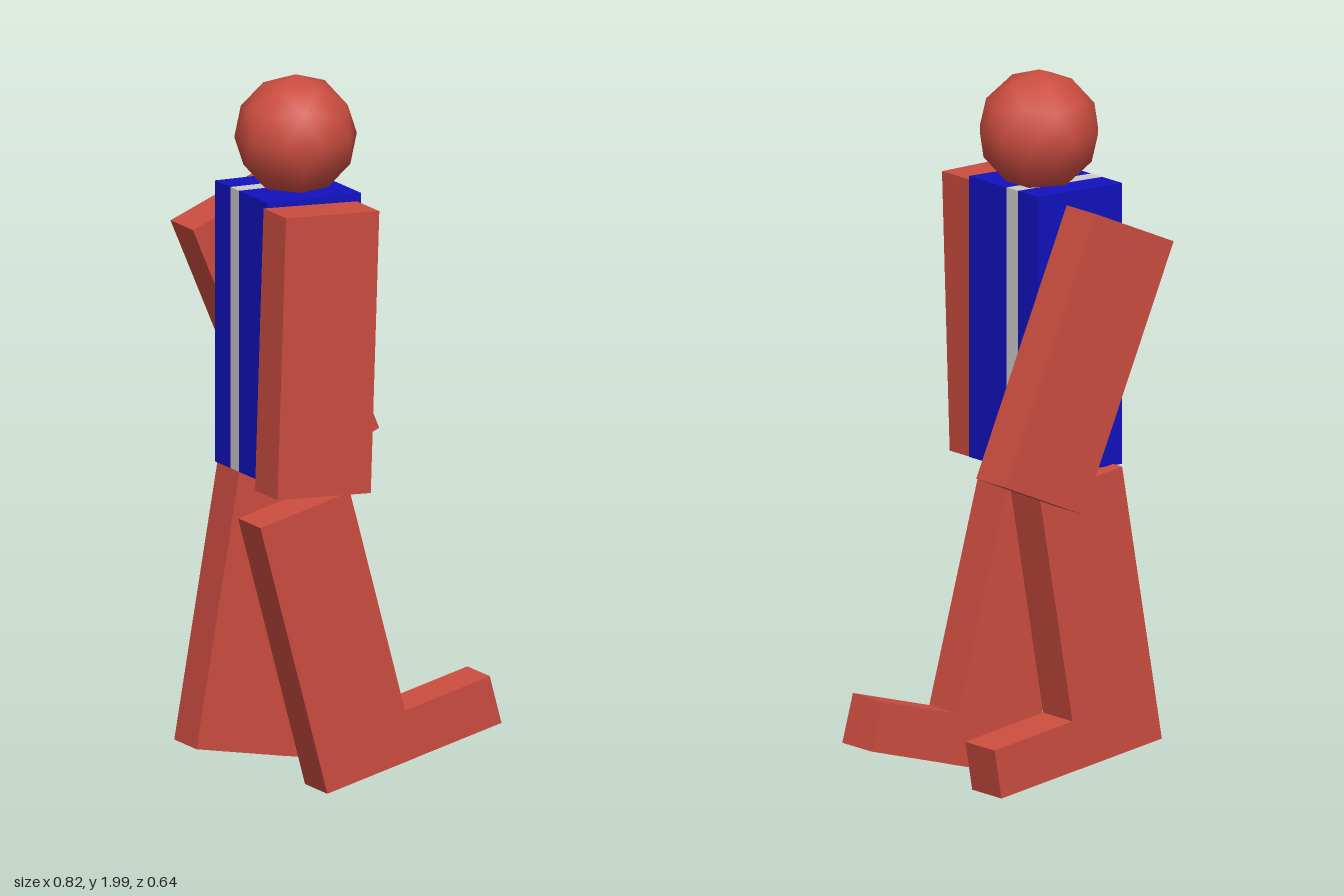
import * as THREE from 'three';

const skin = new THREE.MeshStandardMaterial({ color: 0xcc4d40 });
const blue = new THREE.MeshStandardMaterial({ color: 0x1212c0 });
const grey = new THREE.MeshStandardMaterial({ color: 0xcccccc });

// Box of a given size, centred at a point and swung about z (degrees)
function box(name, size, centre, material, degrees = 0) {
  const mesh = new THREE.Mesh(new THREE.BoxGeometry(...size), material);
  mesh.name = name;
  mesh.position.set(...centre);
  mesh.rotation.z = THREE.MathUtils.degToRad(degrees);
  return mesh;
}

// Leg with a foot sticking forward (+x) from its lower end
function leg(name, centre, degrees) {
  const group = new THREE.Group();
  group.name = name;
  group.add(
    box('shin', [0.285, 0.795, 0.135], [0, 0, 0], skin),
    box('foot', [0.27, 0.14, 0.135], [0.277, -0.327, 0], skin),
  );
  group.position.set(...centre);
  group.rotation.z = THREE.MathUtils.degToRad(degrees);
  return group;
}

export function createModel() {
  const model = new THREE.Group();
  model.name = 'walkingFigure';

  // Torso: two blue slabs with a grey stripe between them
  const torso = new THREE.Group();
  torso.name = 'torso';
  for (const [name, z0, z1, material] of [
    ['jacketFront', -0.01, 0.164, blue],
    ['stripe', -0.062, -0.01, grey],
    ['jacketBack', -0.154, -0.062, blue],
  ]) {
    torso.add(box(name, [0.287, 0.79, z1 - z0], [-0.167, 1.293, (z0 + z1) / 2], material));
  }
  model.add(torso);

  // Head: once-subdivided icosahedron with a corner pointing up
  const ball = new THREE.IcosahedronGeometry(0.17, 1);
  ball.rotateX(-Math.atan((1 + Math.sqrt(5)) / 2));
  ball.rotateY(Math.PI / 2);
  const head = new THREE.Mesh(ball, skin);
  head.name = 'head';
  head.position.set(-0.143, 1.831, 0.003);
  model.add(head);

  // Arms
  model.add(
    box('frontArm', [0.287, 0.79, 0.136], [-0.202, 1.28, 0.25], skin, -1.9),
    box('backArm', [0.287, 0.79, 0.136], [-0.077, 1.24, -0.252], skin, 23),
  );

  // Legs in mid stride
  model.add(
    leg('frontLeg', [-0.092, 0.43, 0.096], 15),
    leg('backLeg', [-0.207, 0.486, -0.128], -9.8),
  );
  return model;
}
